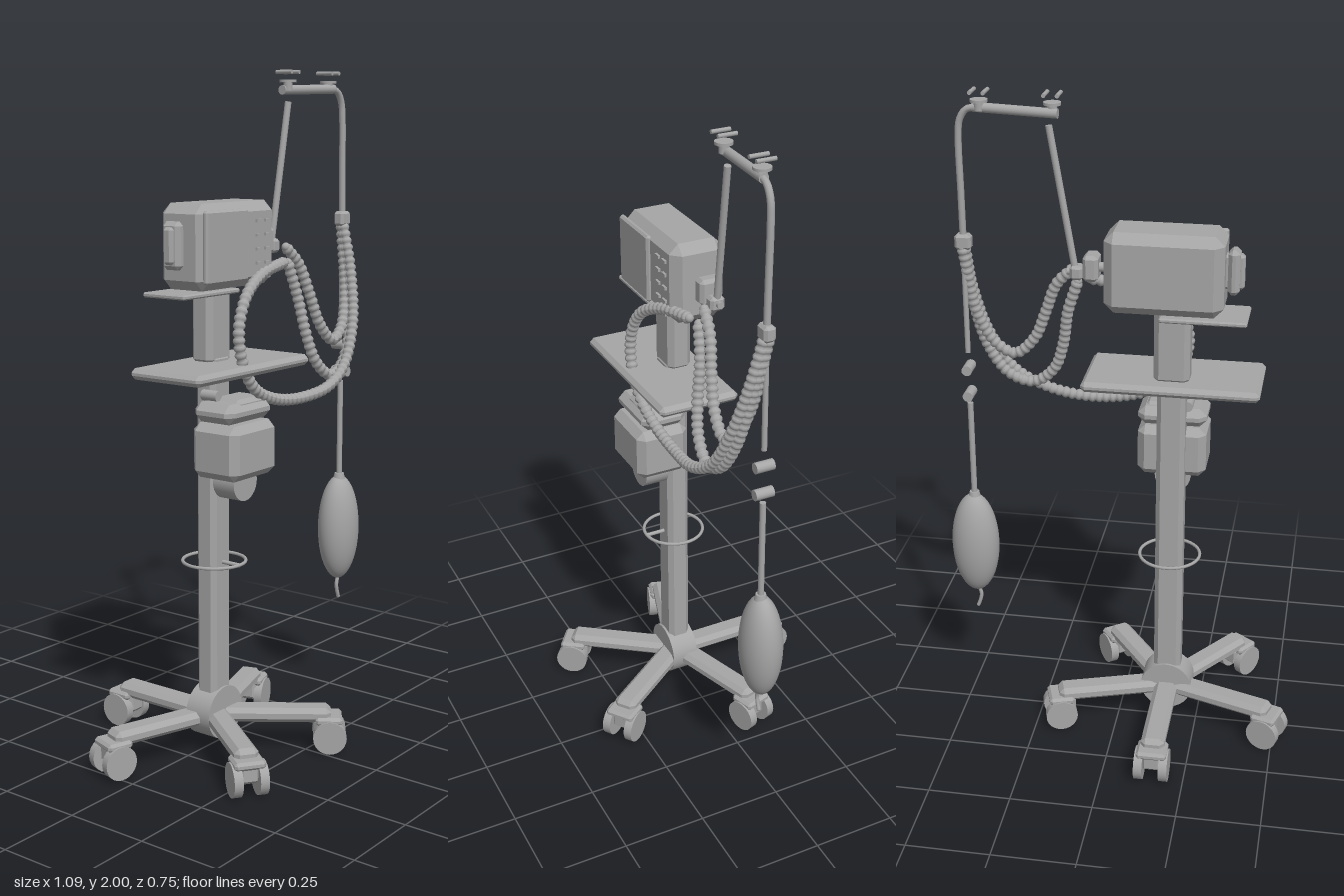
import * as THREE from 'three';
import { ConvexGeometry } from 'three/addons/geometries/ConvexGeometry.js';

const grey = new THREE.MeshStandardMaterial({ color: 0xa6a6a6 });
grey.name = 'equipment grey';

const V = (x, y, z) => new THREE.Vector3(x, y, z);

function add(parent, name, geometry, x = 0, y = 0, z = 0) {
  const mesh = new THREE.Mesh(geometry, grey);
  mesh.name = name;
  mesh.position.set(x, y, z);
  parent.add(mesh);
  return mesh;
}

// Box with every edge chamfered by c
function chamferBox(w, h, d, c) {
  const pts = [];
  const a = w / 2, b = h / 2, e = d / 2;
  for (const sx of [-1, 1]) for (const sy of [-1, 1]) for (const sz of [-1, 1]) {
    pts.push(V(sx * a, sy * (b - c), sz * (e - c)));
    pts.push(V(sx * (a - c), sy * b, sz * (e - c)));
    pts.push(V(sx * (a - c), sy * (b - c), sz * e));
  }
  return new ConvexGeometry(pts);
}

// Chamfered box given by its limits on each axis
function block(parent, name, [x0, x1], [y0, y1], [z0, z1], c) {
  return add(parent, name, chamferBox(x1 - x0, y1 - y0, z1 - z0, c),
    (x0 + x1) / 2, (y0 + y1) / 2, (z0 + z1) / 2);
}

// Round rod between two points
function rod(parent, name, a, b, r, sides = 16) {
  const d = b.clone().sub(a);
  const mesh = add(parent, name, new THREE.CylinderGeometry(r, r, d.length(), sides));
  mesh.position.copy(a).add(b).multiplyScalar(0.5);
  mesh.quaternion.setFromUnitVectors(V(0, 1, 0), d.normalize());
  return mesh;
}

const curveOf = (points) => new THREE.CatmullRomCurve3(points.map((p) => V(...p)));

function tube(parent, name, points, r) {
  const group = new THREE.Group();
  group.name = name;
  parent.add(group);
  add(group, name + 'Wall', new THREE.TubeGeometry(curveOf(points), 32, r, 10));
  // rounded ends
  for (const p of [points[0], points[points.length - 1]])
    add(group, name + 'End', new THREE.SphereGeometry(r, 10, 8), ...p);
}

// Corrugated hose: a tube whose rings swell and shrink in turn
function hose(parent, name, points) {
  const curve = curveOf(points), sides = 12;
  const n = Math.round(curve.getLength() / 0.021) * 4;
  const geo = new THREE.TubeGeometry(curve, n, 1, sides);
  const pos = geo.attributes.position, p = new THREE.Vector3();
  const radii = [0.0125, 0.0165, 0.018, 0.0165];
  for (let i = 0; i <= n; i++) {
    const c = curve.getPointAt(i / n);
    for (let j = 0; j <= sides; j++) {
      const k = i * (sides + 1) + j;
      p.fromBufferAttribute(pos, k).sub(c).multiplyScalar(radii[i % 4]).add(c);
      pos.setXYZ(k, p.x, p.y, p.z);
    }
  }
  geo.computeVertexNormals();
  add(parent, name, geo);
  for (const t of [0, 1]) {
    const e = curve.getPointAt(t);
    add(parent, name + 'End', new THREE.SphereGeometry(0.0135, 12, 8), e.x, e.y, e.z);
  }
}

function buildBase(root) {
  const base = new THREE.Group();
  base.name = 'base';
  base.position.set(-0.154, 0, 0.02);
  root.add(base);
  add(base, 'hub', new THREE.CylinderGeometry(0.08, 0.08, 0.085, 32), 0, 0.122, 0.003).rotation.x = Math.PI / 2;
  for (let i = 0; i < 5; i++) {
    // each leg is built pointing backwards, then turned
    const leg = new THREE.Group();
    leg.name = 'leg' + (i + 1);
    leg.rotation.y = i * Math.PI * 2 / 5;
    base.add(leg);
    block(leg, 'legBeam', [-0.036, 0.036], [0.09, 0.135], [-0.352, 0], 0.014);
    block(leg, 'casterFork', [-0.03, 0.03], [0.04, 0.1], [-0.375, -0.3], 0.01);
    block(leg, 'casterCap', [-0.046, 0.046], [0.085, 0.11], [-0.385, -0.305], 0.008);
    for (const s of [-1, 1])
      add(leg, 'casterWheel', new THREE.CylinderGeometry(0.05, 0.05, 0.026, 24), s * 0.038, 0.05, -0.348).rotation.z = Math.PI / 2;
  }
}

function buildColumn(root) {
  block(root, 'column', [-0.197, -0.112], [0.1, 1.2], [-0.012, 0.058], 0.014);
  block(root, 'upperColumn', [-0.208, -0.102], [1.17, 1.42], [-0.02, 0.055], 0.016);
  block(root, 'table', [-0.417, 0.106], [1.148, 1.18], [-0.067, 0.182], 0.012);
  block(root, 'sideShelf', [-0.372, -0.12], [1.374, 1.388], [-0.052, 0.095], 0.004);
  // cable ring and its stays
  add(root, 'cableRing', new THREE.TorusGeometry(0.093, 0.005, 8, 40), -0.154, 0.585, 0.025).rotation.x = Math.PI / 2;
  rod(root, 'ringStay', V(-0.154, 0.585, 0.118), V(-0.154, 0.585, 0.05), 0.006);
}

function buildVentilator(root) {
  block(root, 'ventilatorBody', [-0.303, 0.04], [1.39, 1.63], [-0.058, 0.108], 0.028);
  block(root, 'screen', [-0.3, -0.11], [1.41, 1.612], [0.1, 0.119], 0.006);
  for (let row = 0; row < 5; row++) for (const x of [-0.055, -0.014])
    add(root, 'button', new THREE.BoxGeometry(0.022, 0.009, 0.008), x, 1.415 + row * 0.04, 0.111);
  block(root, 'sideHandle', [-0.343, -0.309], [1.45, 1.583], [-0.01, 0.052], 0.012);
  block(root, 'sideHandlePad', [-0.356, -0.29], [1.465, 1.568], [0.005, 0.038], 0.008);
  block(root, 'outletBlock', [0.06, 0.105], [1.47, 1.547], [-0.015, 0.055], 0.01);
  rod(root, 'outletPipe', V(0.03, 1.508, 0.02), V(0.065, 1.508, 0.02), 0.014);
}

function buildHumidifier(root) {
  block(root, 'humidifierBody', [-0.257, -0.05], [0.853, 1.012], [0.017, 0.182], 0.022);
  block(root, 'humidifierLid', [-0.257, -0.05], [1.015, 1.072], [0.022, 0.165], 0.022);
  block(root, 'humidifierTop', [-0.2, -0.07], [1.02, 1.08], [0.05, 0.15], 0.012);
  add(root, 'humidifierFoot', new THREE.CylinderGeometry(0.055, 0.055, 0.075, 28), -0.154, 0.836, 0.102).rotation.x = Math.PI / 2;
  add(root, 'humidifierPort', new THREE.CylinderGeometry(0.016, 0.016, 0.055, 16), -0.2, 1.085, 0.052).rotation.x = Math.PI / 2;
}

function buildArm(root) {
  // hinge and rising arm
  block(root, 'armHinge', [0.108, 0.145], [1.468, 1.51], [0, 0.045], 0.008);
  rod(root, 'hingePin', V(0.1, 1.49, 0.02), V(0.155, 1.49, 0.02), 0.01);
  rod(root, 'lowerArm', V(0.13, 1.49, 0.02), V(0.202, 1.908, 0.028), 0.01);
  rod(root, 'upperArm', V(0.175, 1.942, 0.025), V(0.42, 1.948, 0.042), 0.014);
  // hose clips
  for (const [x, z] of [[0.192, 0.034], [0.4, 0.036]]) {
    rod(root, 'clipStem', V(x, 1.94, z), V(x, 1.965, z), 0.014);
    add(root, 'clipDisc', new THREE.CylinderGeometry(0.025, 0.025, 0.008, 20), x, 1.968, z);
    for (const s of [-1, 1])
      rod(root, 'clipBar', V(x + s * 0.019, 1.994, z - 0.028), V(x + s * 0.019, 1.994, z + 0.028), 0.006, 10);
  }
  // drop line to the junction and the breathing bag
  tube(root, 'dropLine', [[0.41, 1.948, 0.042], [0.44, 1.94, 0.044], [0.46, 1.91, 0.045],
    [0.466, 1.86, 0.046], [0.466, 1.7, 0.048], [0.466, 1.56, 0.05]], 0.01);
  block(root, 'junction', [0.441, 0.49], [1.53, 1.576], [0.032, 0.068], 0.008);
  rod(root, 'middleLine', V(0.467, 1.54, 0.05), V(0.467, 1.205, 0.05), 0.008);
  for (const y of [1.155, 1.07])
    rod(root, 'connector', V(0.467, y, 0.022), V(0.467, y, 0.078), 0.016);
  rod(root, 'bagLine', V(0.467, 1.04, 0.05), V(0.467, 0.7, 0.05), 0.009);
  add(root, 'bagNeck', new THREE.CylinderGeometry(0.015, 0.022, 0.03, 16), 0.467, 0.722, 0.05);
  add(root, 'bag', new THREE.SphereGeometry(1, 32, 24), 0.469, 0.557, 0.048).scale.set(0.075, 0.172, 0.062);
  tube(root, 'bagTail', [[0.467, 0.395, 0.05], [0.459, 0.365, 0.05], [0.462, 0.345, 0.05], [0.47, 0.322, 0.05]], 0.006);
}

function buildHoses(root) {
  hose(root, 'longHose', [[0.1, 1.445, 0.09], [-0.04, 1.42, 0.11], [-0.14, 1.365, 0.13], [-0.185, 1.28, 0.14],
    [-0.177, 1.19, 0.145], [-0.12, 1.105, 0.145], [-0.02, 1.06, 0.145], [0.12, 1.045, 0.147], [0.25, 1.065, 0.155],
    [0.35, 1.125, 0.145], [0.42, 1.25, 0.125], [0.455, 1.4, 0.09], [0.464, 1.535, 0.055]]);
  hose(root, 'middleHose', [[0.135, 1.44, 0.078], [0.168, 1.34, 0.09], [0.187, 1.23, 0.108], [0.22, 1.14, 0.122],
    [0.285, 1.09, 0.13], [0.36, 1.115, 0.125], [0.42, 1.21, 0.11], [0.455, 1.38, 0.08], [0.464, 1.535, 0.05]]);
  hose(root, 'shortHose', [[0.143, 1.485, 0.065], [0.197, 1.43, 0.075], [0.235, 1.335, 0.09], [0.273, 1.245, 0.1],
    [0.335, 1.19, 0.105], [0.39, 1.22, 0.1], [0.44, 1.32, 0.08], [0.468, 1.535, 0.045]]);
}

export function createModel() {
  const root = new THREE.Group();
  root.name = 'ventilatorTrolley';
  buildBase(root);
  buildColumn(root);
  buildVentilator(root);
  buildHumidifier(root);
  buildArm(root);
  buildHoses(root);
  return root;
}
